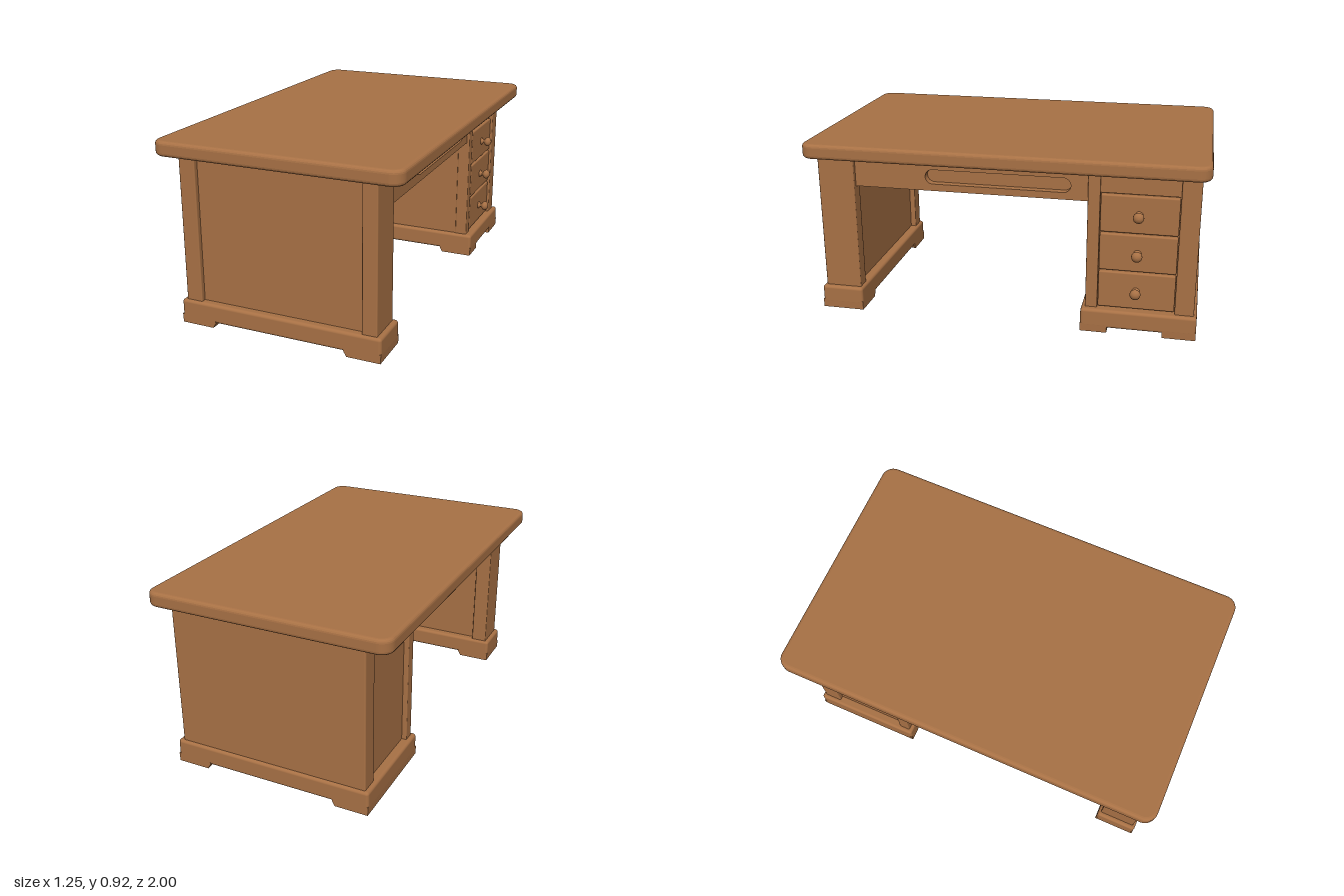
import * as THREE from 'three';
import { RoundedBoxGeometry } from 'three/addons/geometries/RoundedBoxGeometry.js';

export function createModel() {
  const desk = new THREE.Group();
  desk.name = 'desk';
  const wood = new THREE.MeshStandardMaterial({ color: 0xa87145 });
  wood.name = 'warm wood';

  const add = (name, geometry, parent = desk) => {
    const mesh = new THREE.Mesh(geometry, wood);
    mesh.name = name;
    parent.add(mesh);
    return mesh;
  };
  // Box given by its limits on each axis; r > 0 rounds the edges
  const block = (name, [x0, x1], [y0, y1], [z0, z1], r = 0, parent = desk) => {
    const size = [x1 - x0, y1 - y0, z1 - z0];
    const geometry = r ? new RoundedBoxGeometry(...size, 3, r) : new THREE.BoxGeometry(...size);
    geometry.translate((x0 + x1) / 2, (y0 + y1) / 2, (z0 + z1) / 2);
    return add(name, geometry, parent);
  };
  const group = (name) => {
    const g = new THREE.Group();
    g.name = name;
    desk.add(g);
    return g;
  };

  // Desktop: rounded rectangle with softened edges
  const bevel = 0.018, w = 0.625 - bevel, l = 1 - bevel, r = 0.045;
  const outline = new THREE.Shape();
  outline.absarc(w - r, l - r, r, 0, Math.PI / 2);
  outline.absarc(-w + r, l - r, r, Math.PI / 2, Math.PI);
  outline.absarc(-w + r, -l + r, r, Math.PI, Math.PI * 1.5);
  outline.absarc(w - r, -l + r, r, Math.PI * 1.5, Math.PI * 2);
  const top = new THREE.ExtrudeGeometry(outline, {
    depth: 0.075 - 2 * bevel, bevelSize: bevel, bevelThickness: bevel, bevelSegments: 4, curveSegments: 8,
  });
  top.rotateX(-Math.PI / 2).translate(0, 0.845 + bevel, 0);
  add('desktop', top);

  // Plinth slab standing on sloped feet
  const foot = (points, z0, z1, parent) => {
    const shape = new THREE.Shape(points.map(([x, y]) => new THREE.Vector2(x, y)));
    const geometry = new THREE.ExtrudeGeometry(shape, { depth: z1 - z0, bevelEnabled: false });
    add('foot', geometry.translate(0, 0, z0), parent);
  };
  const plinth = (name, z0, z1, leftSpans) => {
    const g = group(name);
    block('plinthSlab', [-0.522, 0.53], [0.025, 0.122], [z0, z1], 0.015, g);
    foot([[-0.52, 0], [-0.35, 0], [-0.335, 0.025], [-0.335, 0.045], [-0.522, 0.045]], z0, z1, g);
    for (const [a, b] of leftSpans) {
      foot([[0.36, 0], [0.528, 0], [0.53, 0.045], [0.345, 0.045], [0.345, 0.025]], a, b, g);
    }
  };
  plinth('legPlinth', 0.755, 0.975, [[0.755, 0.975]]);
  plinth('pedestalPlinth', -0.975, -0.4, [[-0.975, -0.81], [-0.535, -0.4]]);

  // Front leg: recessed panel between two posts
  const high = [0.11, 0.85];
  const leg = group('frontLeg');
  block('legPost', [-0.5, -0.415], high, [0.77, 0.96], 0.006, leg);
  block('legPost', [0.43, 0.505], high, [0.77, 0.96], 0.006, leg);
  block('legPanel', [-0.43, 0.45], high, [0.8, 0.935], 0, leg);

  // Drawer pedestal: body with corner posts on both sides
  const pedestal = group('drawerPedestal');
  block('pedestalBody', [-0.475, 0.47], high, [-0.955, -0.425], 0, pedestal);
  block('backPost', [-0.5, 0.505], high, [-0.96, -0.865], 0.008, pedestal);
  block('innerPost', [-0.5, -0.43], high, [-0.48, -0.42], 0.006, pedestal);
  block('innerPost', [0.43, 0.495], high, [-0.48, -0.42], 0.006, pedestal);

  // Drawers with turned knobs
  const knobProfile = [[0.02, 0], [0.019, 0.005], [0.01, 0.013], [0.01, 0.019], [0.022, 0.027],
    [0.027, 0.036], [0.026, 0.045], [0.018, 0.054], [0.009, 0.058], [0, 0.059]]
    .map(([x, y]) => new THREE.Vector2(x, y));
  for (let i = 0; i < 3; i++) {
    const y = 0.225 + i * 0.2;
    block('drawerFront', [0.45, 0.495], [y - 0.096, y + 0.096], [-0.862, -0.483], 0.008, pedestal);
    const knob = add('knob', new THREE.LatheGeometry(knobProfile, 20), pedestal);
    knob.rotation.z = -Math.PI / 2;
    knob.position.set(0.495, y, -0.67);
  }
  block('topRail', [0.45, 0.485], [0.727, 0.85], [-0.866, -0.479], 0, pedestal);

  // Apron spanning the knee space, with a long rounded finger slot
  const apron = group('apron');
  block('apronBody', [-0.48, 0.44], [0.675, 0.85], [-0.43, 0.8], 0, apron);
  const face = new THREE.Shape([[-0.8, 0.675], [0.43, 0.675], [0.43, 0.85], [-0.8, 0.85]]
    .map(([x, y]) => new THREE.Vector2(x, y)));
  const slot = new THREE.Path(), sr = 0.037, sy = 0.748;
  slot.absarc(0.335 - sr, sy, sr, -Math.PI / 2, Math.PI / 2);
  slot.absarc(-0.4 + sr, sy, sr, Math.PI / 2, Math.PI * 1.5);
  face.holes.push(slot);
  const plate = new THREE.ExtrudeGeometry(face, { depth: 0.04, bevelEnabled: false, curveSegments: 10 });
  add('apronFace', plate.rotateY(Math.PI / 2).translate(0.44, 0, 0), apron);

  return desk;
}
